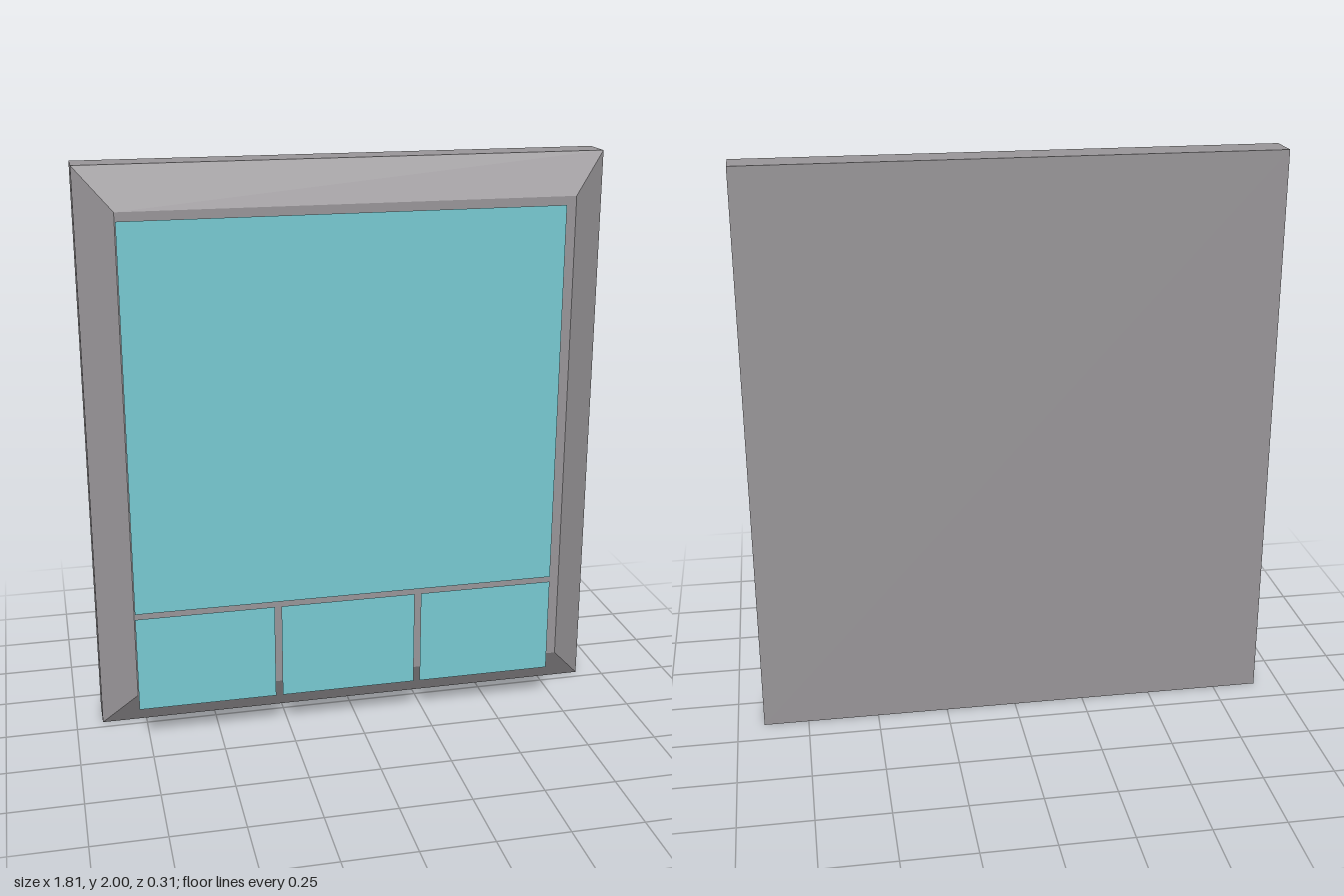
import * as THREE from 'three';

const casingGrey = new THREE.MeshStandardMaterial({ color: 0x989598 });
const screenTeal = new THREE.MeshStandardMaterial({ color: 0x77c9d1, side: THREE.DoubleSide });

const HALF_W = 0.907, HEIGHT = 2;
const BACK_Z = -0.155, RIM_Z = -0.035, FRONT_Z = 0.054, PANEL_Z = 0.155;

// Casing: a box whose front ring of corners is drawn in to form the bevel
function createCasing() {
  const ring = (hw, hh, z) => [[-hw, -hh, z], [hw, -hh, z], [hw, hh, z], [-hw, hh, z]];
  const rings = [
    ring(HALF_W, HEIGHT / 2, BACK_Z),
    ring(HALF_W, HEIGHT / 2, RIM_Z),
    ring(0.782, 0.86, FRONT_Z),
  ];
  const positions = [];
  const quad = (a, b, c, d) => positions.push(...a, ...b, ...c, ...a, ...c, ...d);
  for (let r = 0; r < 2; r++) {
    for (let i = 0; i < 4; i++) {
      const j = (i + 1) % 4;
      quad(rings[r][i], rings[r][j], rings[r + 1][j], rings[r + 1][i]);
    }
  }
  quad(...rings[2]);
  quad(...[...rings[0]].reverse());
  const geometry = new THREE.BufferGeometry();
  geometry.setAttribute('position', new THREE.Float32BufferAttribute(positions, 3));
  geometry.computeVertexNormals();
  const casing = new THREE.Mesh(geometry, casingGrey);
  casing.name = 'casing';
  casing.position.y = HEIGHT / 2;
  return casing;
}

// Flat panel standing in front of the casing
function createPanel(name, x0, x1, y0, y1) {
  const panel = new THREE.Mesh(new THREE.PlaneGeometry(x1 - x0, y1 - y0), screenTeal);
  panel.name = name;
  panel.position.set((x0 + x1) / 2, (y0 + y1) / 2, PANEL_Z);
  return panel;
}

export function createModel() {
  const model = new THREE.Group();
  model.name = 'wallPanel';
  model.add(createCasing());
  model.add(createPanel('mainScreen', -0.785, 0.71, 0.5, 1.847));

  // Row of three small panels below the screen
  const columns = [[-0.785, -0.301], [-0.277, 0.204], [0.227, 0.71]];
  columns.forEach(([x0, x1], i) => {
    model.add(createPanel(`lowerPanel${i + 1}`, x0, x1, 0.137, 0.481));
  });
  return model;
}
